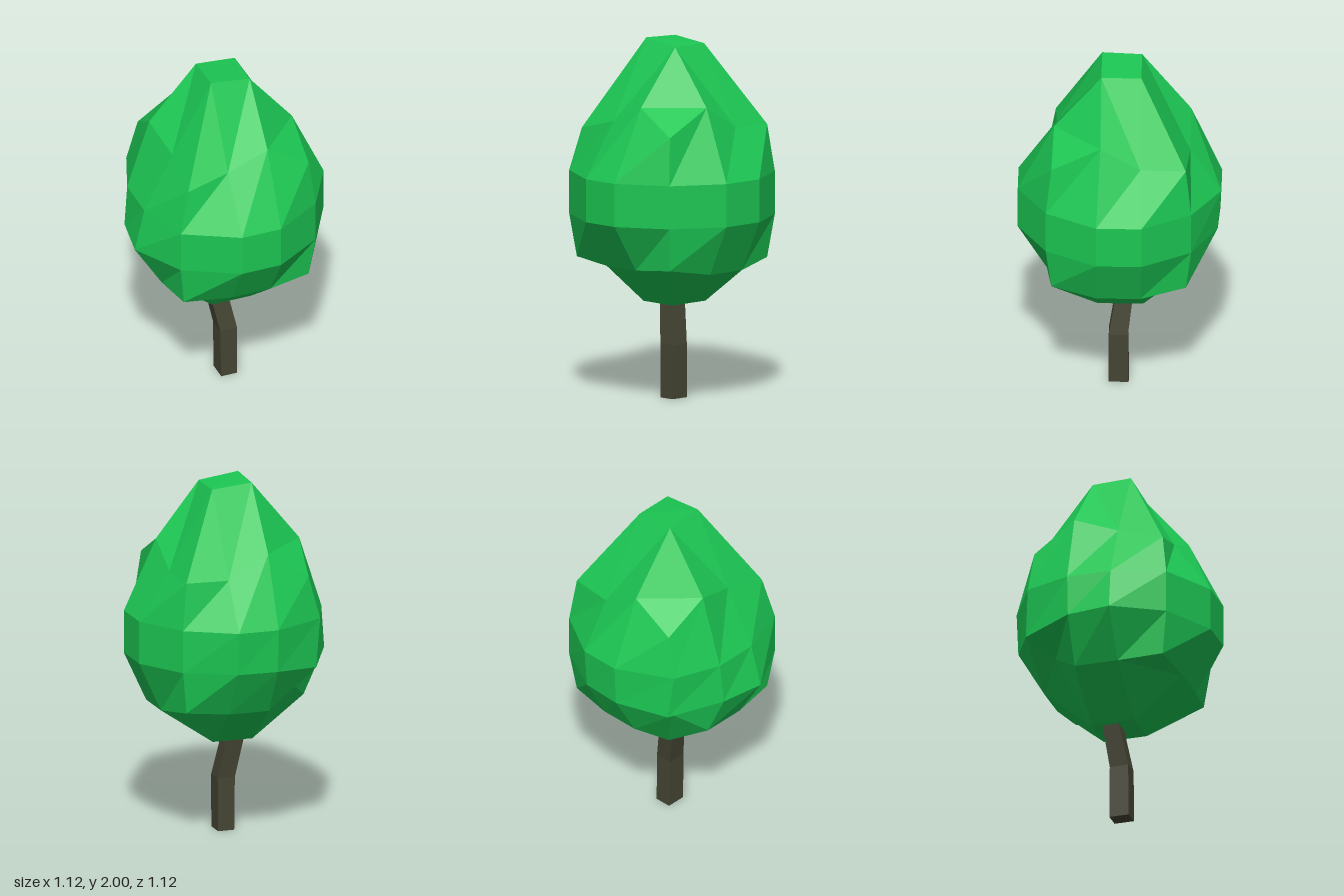
import * as THREE from 'three';

// Hand-placed points that break the regular crown, keyed by lattice index (x y z, 0..3)
const NUDGED = {
  // tip
  '131': [-0.1, 1.99, -0.12], '132': [-0.1, 2, 0.1], '231': [0.13, 1.97, -0.12], '232': [0.13, 1.97, 0.1],
  // shoulder ring
  '133': [-0.1, 1.56, 0.35], '233': [0.13, 1.66, 0.36],
  '332': [0.38, 1.66, 0.1], '331': [0.38, 1.53, -0.12],
  '032': [-0.33, 1.58, 0.1], '031': [-0.37, 1.66, -0.14],
  '130': [-0.1, 1.65, -0.39], '230': [0.13, 1.52, -0.39],
  '033': [-0.34, 1.5, 0.36], '030': [-0.34, 1.5, -0.38],
  // left side
  '011': [-0.52, 1.02, -0.13], '012': [-0.56, 1.02, 0.12],
  '021': [-0.5, 1.26, -0.14], '022': [-0.5, 1.26, 0.11],
  // back side
  '110': [-0.1, 1.02, -0.55], '210': [0.13, 1.02, -0.54],
  // bottom ring, with the notched back corner
  '301': [0.43, 0.74, -0.12], '302': [0.43, 0.74, 0.12],
  '010': [-0.37, 0.99, -0.42], '000': [-0.27, 0.88, -0.28],
};

// Regular crown point: face middles bulge, edges and corners are drawn in
function crownPoint(i, j, k) {
  const isEnd = (n) => n === 0 || n === 3;
  const ends = [i, j, k].filter(isEnd).length;
  const sideReach = ends === 1 ? 0.56 : isEnd(j) ? (ends === 3 ? 0.37 : 0.4) : 0.4;
  const across = (n, low, high) => (n === 0 ? -sideReach : n === 3 ? sideReach : n === 1 ? low : high);
  const bottom = [0, 0.535, 0.76, 0.78][ends];
  const top = [0, 2, 1.62, 1.52][ends];
  return [across(i, -0.1, 0.13), [bottom, 1.02, 1.26, top][j], across(k, -0.13, 0.12)];
}

function makeCrown(material) {
  const geometry = new THREE.BoxGeometry(3, 3, 3, 3, 3, 3);
  const pos = geometry.attributes.position;
  for (let n = 0; n < pos.count; n++) {
    const [i, j, k] = [pos.getX(n), pos.getY(n), pos.getZ(n)].map((v) => Math.round(v + 1.5));
    pos.setXYZ(n, ...(NUDGED[`${i}${j}${k}`] ?? crownPoint(i, j, k)));
  }
  geometry.computeVertexNormals();
  const mesh = new THREE.Mesh(geometry, material);
  mesh.name = 'crown';
  return mesh;
}

// Square trunk, upright below and leaning above the bend
function makeTrunk(material) {
  const sections = [ // centre x, y, centre z, half width, half depth
    [0.023, 0, 0.007, 0.047, 0.056],
    [0.021, 0.3, 0.008, 0.05, 0.053],
    [-0.04, 0.62, -0.038, 0.05, 0.045],
  ];
  const geometry = new THREE.BoxGeometry(2, 2, 2, 1, 2, 1);
  const pos = geometry.attributes.position;
  for (let n = 0; n < pos.count; n++) {
    const [cx, y, cz, w, d] = sections[Math.round(pos.getY(n) + 1)];
    pos.setXYZ(n, cx + pos.getX(n) * w, y, cz + pos.getZ(n) * d);
  }
  geometry.computeVertexNormals();
  const mesh = new THREE.Mesh(geometry, material);
  mesh.name = 'trunk';
  return mesh;
}

export function createModel() {
  const tree = new THREE.Group();
  tree.name = 'tree';
  const leaf = new THREE.MeshStandardMaterial({ color: 0x1cc653, flatShading: true });
  const bark = new THREE.MeshStandardMaterial({ color: 0x454534, flatShading: true });
  tree.add(makeCrown(leaf), makeTrunk(bark));
  return tree;
}
